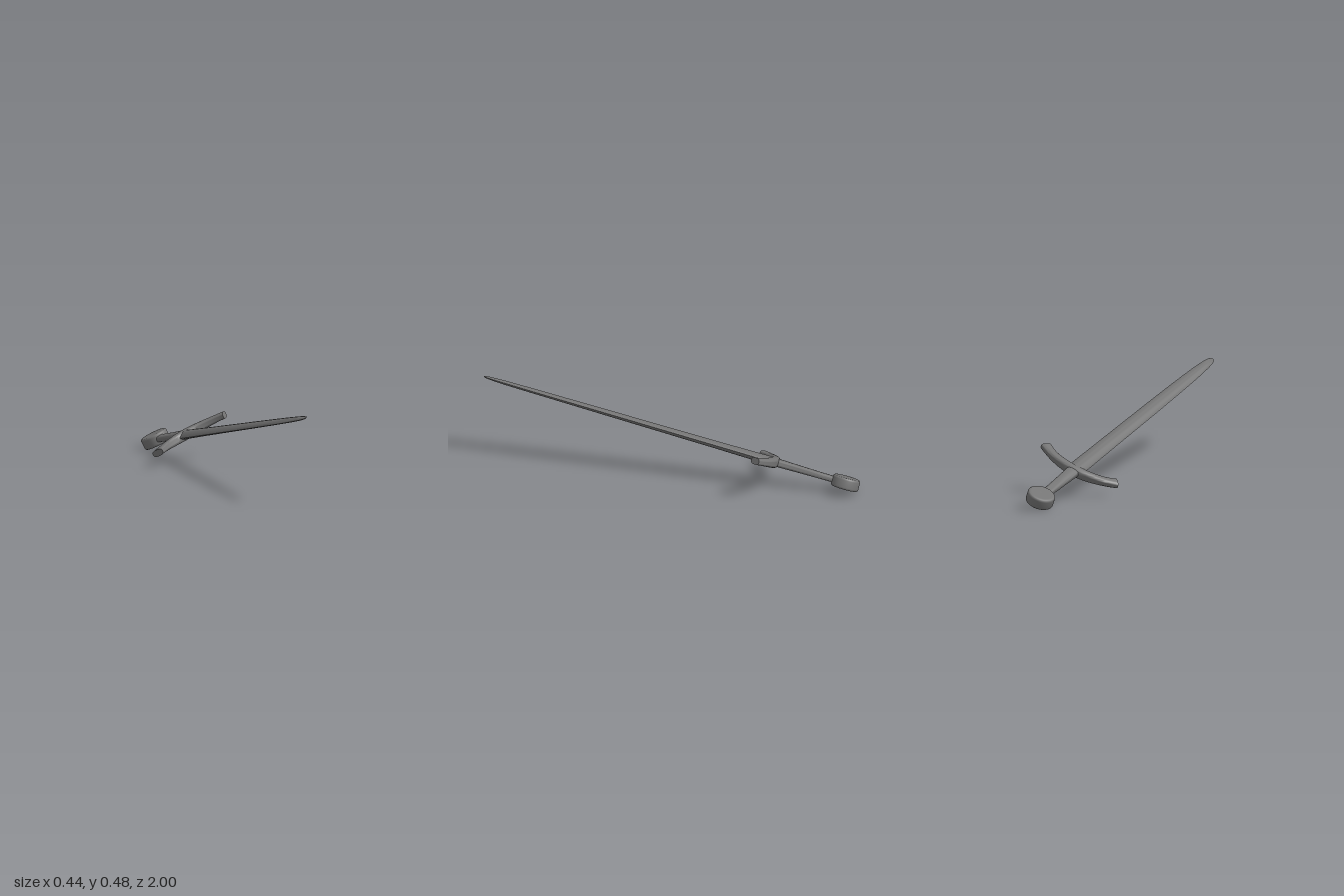
import * as THREE from 'three';
import { toCreasedNormals } from 'three/addons/utils/BufferGeometryUtils.js';

const material = new THREE.MeshStandardMaterial({ color: 0x747474 });
const SIDES = 24;

// Skin a row of rings. Each ring: centre c, side axis u, half width a, half depth b (along z), roundness p.
function loft(rings) {
  const pos = [], idx = [];
  const power = (v, p) => Math.sign(v) * Math.pow(Math.abs(v), 2 / p);
  for (const { c, u, a, b, p } of rings) {
    for (let i = 0; i < SIDES; i++) {
      const t = (i / SIDES) * Math.PI * 2;
      const w = a * power(Math.cos(t), p), h = b * power(Math.sin(t), p);
      pos.push(c.x + u.x * w, c.y + u.y * w, c.z + h);
    }
  }
  const n = rings.length;
  for (let r = 0; r < n - 1; r++) {
    for (let i = 0; i < SIDES; i++) {
      const j = (i + 1) % SIDES, A = r * SIDES, B = A + SIDES;
      idx.push(A + i, A + j, B + i, A + j, B + j, B + i);
    }
  }
  // end caps
  const start = n * SIDES, last = (n - 1) * SIDES;
  for (const ring of [rings[0], rings[n - 1]]) pos.push(ring.c.x, ring.c.y, ring.c.z);
  for (let i = 0; i < SIDES; i++) {
    const j = (i + 1) % SIDES;
    idx.push(start, j, i, start + 1, last + i, last + j);
  }
  const g = new THREE.BufferGeometry();
  g.setAttribute('position', new THREE.Float32BufferAttribute(pos, 3));
  g.setIndex(idx);
  return toCreasedNormals(g, 0.9);
}

// Rings along the sword's own y axis from [y, half width, half depth] rows
const along = (rows, p) => loft(rows.map(([y, a, b]) => ({
  c: new THREE.Vector3(0, y, 0), u: new THREE.Vector3(-1, 0, 0), a, b, p,
})));

function add(group, name, geometry) {
  const mesh = new THREE.Mesh(geometry, material);
  mesh.name = name;
  group.add(mesh);
  return mesh;
}

export function createModel() {
  const model = new THREE.Group();
  model.name = 'sword';
  const sword = new THREE.Group();
  sword.name = 'tiltedSword';
  model.add(sword);

  // Blade: ridged lens section, narrowing to a rounded tip
  add(sword, 'blade', along([
    [0.39, 0.047, 0.025], [0.45, 0.047, 0.023], [0.7, 0.045, 0.020], [1.0, 0.043, 0.018],
    [1.3, 0.041, 0.016], [1.55, 0.038, 0.014], [1.7, 0.035, 0.013], [1.8, 0.032, 0.012],
    [1.88, 0.028, 0.011], [1.93, 0.024, 0.009], [1.96, 0.019, 0.007], [1.977, 0.013, 0.005],
    [1.985, 0.004, 0.002],
  ], 1.4));

  // Grip: swells from pommel to guard
  add(sword, 'grip', along([
    [0.03, 0.026, 0.017], [0.12, 0.028, 0.017], [0.25, 0.032, 0.019], [0.39, 0.037, 0.022],
  ], 2.6));

  // Guard: arc bending toward the tip, deep in the middle, with thinner, wider ends
  const R = 0.33, spread = 0.72, steps = 28, guard = [];
  for (let i = 0; i <= steps; i++) {
    const k = (i / steps) * 2 - 1, t = k * spread;
    guard.push({
      c: new THREE.Vector3(R * Math.sin(t), 0.39 + R * (1 - Math.cos(t)), 0),
      u: new THREE.Vector3(-Math.sin(t), Math.cos(t), 0),
      a: 0.026 + 0.005 * k ** 4,
      b: 0.018 + 0.010 * Math.cos(k * Math.PI / 2) ** 2,
      p: 2.8,
    });
  }
  add(sword, 'guard', loft(guard));

  // Pommel: thick disc with a softened rim
  const half = [[0.074, 0], [0.074, 0.019], [0.072, 0.026], [0.067, 0.03], [0.055, 0.031], [0, 0.03]];
  const profile = [
    ...half.slice(1).reverse().map(([r, h]) => new THREE.Vector2(r, -h)),
    ...half.map(([r, h]) => new THREE.Vector2(r, h)),
  ];
  add(sword, 'pommel', new THREE.LatheGeometry(profile, 40)).rotation.x = Math.PI / 2;

  // Lay the sword at its slant: pommel low at the back, tip raised at the front
  const axis = new THREE.Vector3(-0.114, 0.21, 0.972).normalize();
  const across = new THREE.Vector3(0.92, 0.39, 0.02);
  across.addScaledVector(axis, -across.dot(axis)).normalize();
  const normal = new THREE.Vector3().crossVectors(across, axis);
  sword.setRotationFromMatrix(new THREE.Matrix4().makeBasis(across, axis, normal));
  sword.position.set(0.049, 0.057, -0.928);
  return model;
}
